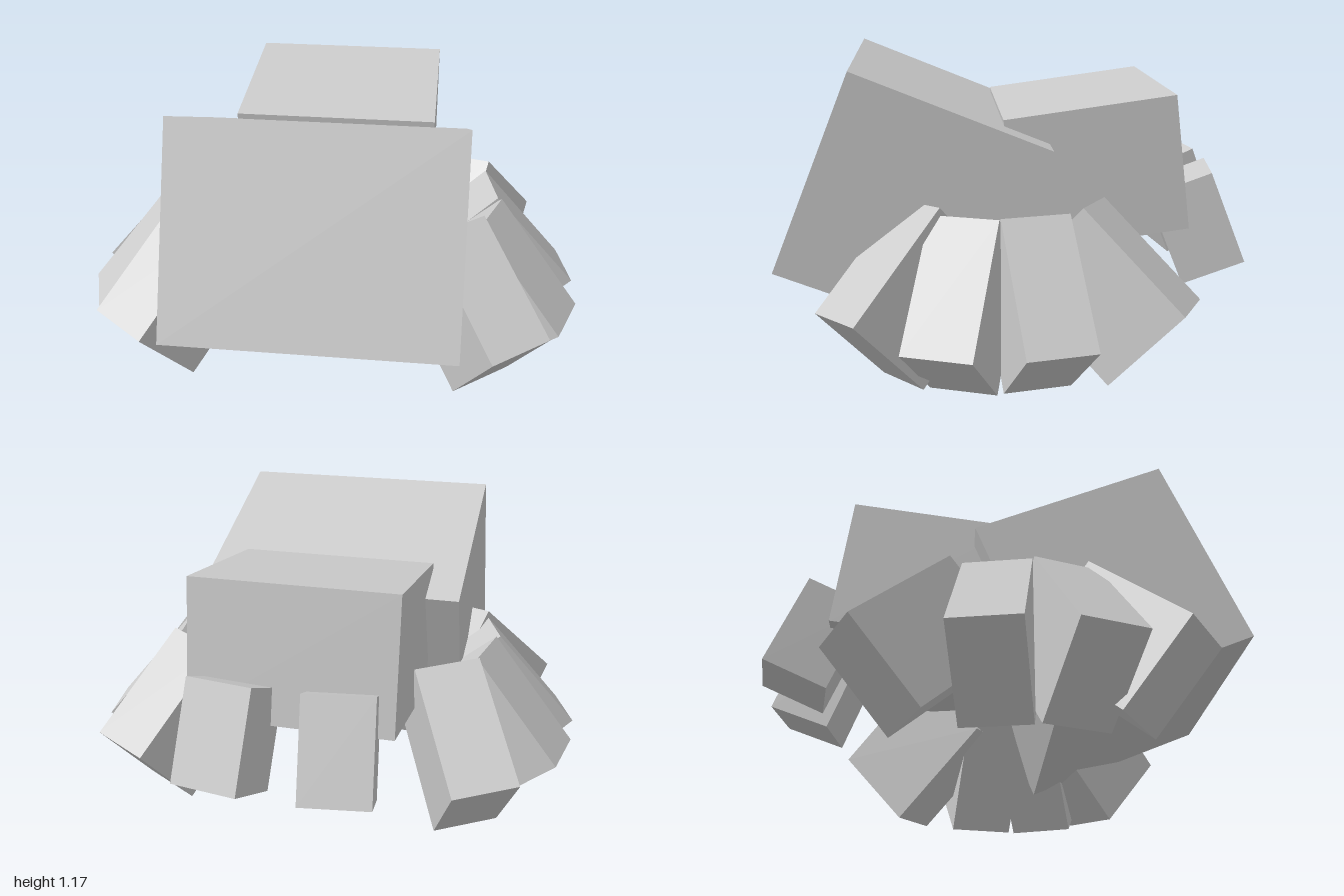
import * as THREE from 'three';

const material = new THREE.MeshStandardMaterial({ color: 0xcccccc, flatShading: true });

function box(name, size, position) {
  const mesh = new THREE.Mesh(new THREE.BoxGeometry(...size), material);
  mesh.name = name;
  mesh.position.set(...position);
  return mesh;
}

// Thick block leg: knee = middle of its outer edge, across = width direction,
// inward = direction of the underside, running down and in from the knee.
const LEG = { width: 0.26, length: 0.525, depth: 0.4 };
function leg(name, knee, across, inward, side) {
  const vec = (v) => new THREE.Vector3(v[0] * side, v[1], v[2]);
  const w = vec(across).normalize();
  const up = new THREE.Vector3().crossVectors(w, vec(inward)).normalize();
  if (up.y < 0) up.negate();
  const d = new THREE.Vector3().crossVectors(w, up);
  const mesh = box(name, [LEG.width, LEG.length, LEG.depth], [0, 0, 0]);
  mesh.quaternion.setFromRotationMatrix(new THREE.Matrix4().makeBasis(w, up, d));
  const toUnderside = d.dot(vec(inward)) < 0 ? -1 : 1;
  mesh.position.copy(vec(knee))
    .addScaledVector(up, LEG.length / 2)
    .addScaledVector(d, toUnderside * LEG.depth / 2);
  return mesh;
}

export function createModel() {
  const model = new THREE.Group();
  model.name = 'blockCreature';

  // Large front block, leaning back
  const head = box('head', [1.054, 0.798, 0.792], [0, 0.65, 0.415]);
  head.rotation.x = -0.39;
  model.add(head);

  // Rear block, raised at the back
  const abdomen = box('abdomen', [0.79, 0.53, 0.66], [0, 0.742, -0.29]);
  abdomen.rotation.x = 0.13;
  model.add(abdomen);

  // Legs from front to back: knee, width direction, underside direction
  const legs = [
    ['frontLeg', [0.755, 0.333, 0.695], [0.21, 0.025, -0.15], [-0.13, -0.3, -0.23]],
    ['frontMiddleLeg', [0.955, 0.26, 0.345], [-0.086, 0, 0.243], [-0.288, -0.26, -0.102]],
    ['rearMiddleLeg', [0.975, 0.26, -0.085], [0.045, 0, 0.25], [-0.3, -0.26, 0.054]],
    ['rearLeg', [0.722, 0.322, -0.59], [0.235, 0.025, 0.12], [-0.1, -0.295, 0.245]],
  ];

  for (const [label, side] of [['left', 1], ['right', -1]]) {
    for (const [part, knee, across, inward] of legs) {
      const name = label + part[0].toUpperCase() + part.slice(1);
      model.add(leg(name, knee, across, inward, side));
    }
    // Splayed tail blocks under the back of the abdomen
    const tail = box(label + 'TailBlock', [0.263, 0.39, 0.262], [0.211 * side, 0.5, -0.718]);
    tail.rotation.set(0.385, -0.152 * side, 0, 'YXZ');
    model.add(tail);
  }
  return model;
}
